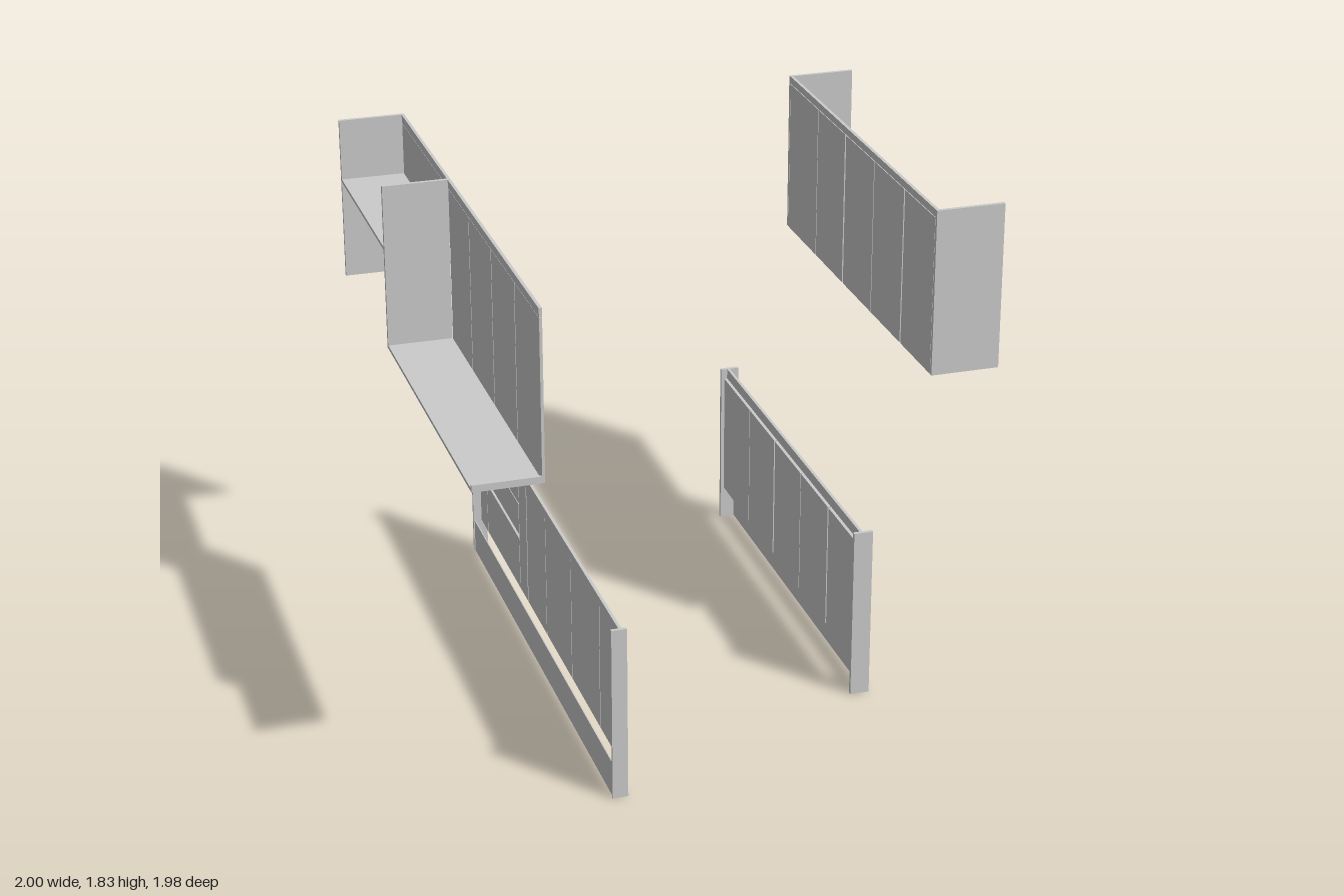
import * as THREE from 'three';

const material = new THREE.MeshStandardMaterial({ color: 0xcccccc, side: THREE.DoubleSide });

// Box given by its extents along each axis
function panel(parent, name, [x0, x1], [y0, y1], [z0, z1]) {
  const mesh = new THREE.Mesh(
    new THREE.BoxGeometry(Math.abs(x1 - x0), y1 - y0, z1 - z0), material);
  mesh.position.set((x0 + x1) / 2, (y0 + y1) / 2, (z0 + z1) / 2);
  mesh.name = name;
  parent.add(mesh);
}

// Row of door fronts between consecutive seams [z, gap width]
function doors(parent, xs, ys, seams) {
  for (let i = 0; i < seams.length - 1; i++) {
    const [a, gapA] = seams[i], [b, gapB] = seams[i + 1];
    panel(parent, 'door', xs, ys, [a + gapA / 2, b - gapB / 2]);
  }
}

function run(root, name) {
  const g = new THREE.Group();
  g.name = name;
  root.add(g);
  return g;
}

export function createModel() {
  const root = new THREE.Group();
  root.name = 'kitchenFronts';
  const shortSeams = [[-0.975, 0.004], [-0.657, 0.005], [-0.36, 0.012],
    [-0.06, 0.005], [0.24, 0.01], [0.532, 0.004]];
  const shortEnds = [[-0.99, -0.976], [0.532, 0.546]];

  // Wall cabinets on the left: five doors, end panels, bottom
  const wallLeft = run(root, 'leftWallCabinets');
  doors(wallLeft, [0.75, 0.76], [1.22, 1.8], shortSeams);
  panel(wallLeft, 'topRail', [0.75, 0.762], [1.803, 1.83], [-0.976, 0.532]);
  panel(wallLeft, 'bottomPanel', [0.762, 1], [1.22, 1.232], [-0.976, 0.532]);
  for (const z of shortEnds) panel(wallLeft, 'endPanel', [0.75, 1], [1.22, 1.83], z);

  // Base fronts on the left: five doors, rail, recessed plinth, end posts
  const baseLeft = run(root, 'leftBaseFronts');
  doors(baseLeft, [0.492, 0.504], [0.13, 0.605], shortSeams);
  panel(baseLeft, 'topRail', [0.504, 0.515], [0.605, 0.645], [-0.976, 0.532]);
  panel(baseLeft, 'plinth', [0.535, 0.539], [0, 0.13], [-0.976, 0.532]);
  for (const z of shortEnds) panel(baseLeft, 'endPost', [0.48, 0.55], [0, 0.645], z);

  // Wall cabinets on the right: four tall doors, then a short cabinet
  const wallRight = run(root, 'rightWallCabinets');
  doors(wallRight, [-0.765, -0.755], [1.22, 1.797],
    [[-0.246, 0.004], [0.05, 0.006], [0.36, 0.006], [0.67, 0.006], [0.985, 0.004]]);
  panel(wallRight, 'topRail', [-0.766, -0.755], [1.8, 1.83], [-0.976, 0.985]);
  panel(wallRight, 'bottomPanel', [-1, -0.766], [1.22, 1.232], [-0.246, 0.975]);
  panel(wallRight, 'bottomEdge', [-1, -0.766], [1.22, 1.245], [0.975, 0.985]);
  panel(wallRight, 'shortDoor', [-0.765, -0.755], [1.59, 1.797], [-0.976, -0.26]);
  panel(wallRight, 'shortBottom', [-1, -0.766], [1.59, 1.602], [-0.976, -0.26]);
  panel(wallRight, 'divider', [-1, -0.766], [1.22, 1.83], [-0.26, -0.246]);
  panel(wallRight, 'endPanel', [-1, -0.755], [1.22, 1.83], [-0.99, -0.976]);

  // Base fronts on the right: doors plus a stack of three drawers
  const baseRight = run(root, 'rightBaseFronts');
  const face = [-0.508, -0.496];
  doors(baseRight, face, [0.13, 0.607],
    [[-0.37, 0.006], [-0.255, 0.008], [0.015, 0.005], [0.36, 0.005], [0.725, 0.006], [0.974, 0.002]]);
  for (const y of [[0.13, 0.335], [0.353, 0.478], [0.483, 0.607]])
    panel(baseRight, 'drawerFront', face, y, [-0.865, -0.373]);
  panel(baseRight, 'filler', face, [0.13, 0.607], [-0.976, -0.869]);
  panel(baseRight, 'topRail', [-0.512, -0.501], [0.61, 0.645], [-0.976, 0.973]);
  panel(baseRight, 'plinth', [-0.536, -0.532], [0, 0.13], [-0.976, 0.973]);
  for (const z of [[-0.988, -0.976], [0.973, 0.985]])
    panel(baseRight, 'endPost', [-0.54, -0.485], [0, 0.645], z);

  return root;
}
